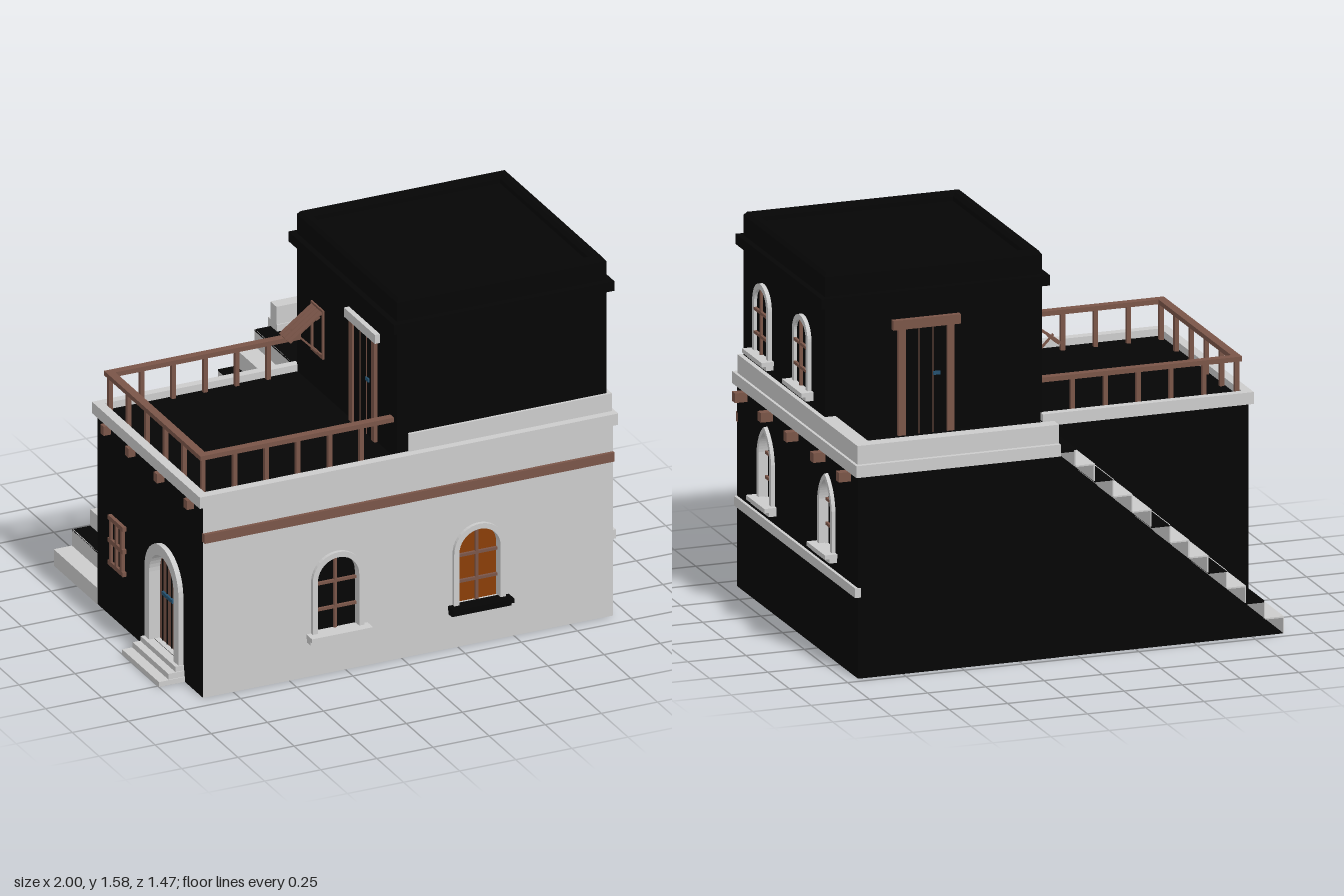
import * as THREE from 'three';

const mat = (color) => new THREE.MeshStandardMaterial({ color, side: THREE.DoubleSide, flatShading: true });
const GREY = mat(0xcccccc), BLACK = mat(0x050505), BROWN = mat(0x7a5548), GLOW = mat(0x8a3e08), BLUE = mat(0x24506e);

function add(parent, name, geo, material) {
  const m = new THREE.Mesh(geo, material);
  m.name = name;
  parent.add(m);
  return m;
}

// Box given by its limits on each axis
function box(parent, name, material, x0, x1, y0, y1, z0, z1) {
  const m = add(parent, name, new THREE.BoxGeometry(x1 - x0, y1 - y0, z1 - z0), material);
  m.position.set((x0 + x1) / 2, (y0 + y1) / 2, (z0 + z1) / 2);
  return m;
}

// Arched outline: half width w, base y0, top y1, round or pointed
function arch(T, u, w, y0, y1, pointed) {
  const s = new T();
  const spring = pointed ? y1 - w * 1.6 : y1 - w;
  s.moveTo(u - w, y0).lineTo(u + w, y0).lineTo(u + w, spring);
  if (pointed) {
    s.quadraticCurveTo(u + w * 0.85, y1 - w * 0.5, u, y1);
    s.quadraticCurveTo(u - w * 0.85, y1 - w * 0.5, u - w, spring);
  } else s.absarc(u, spring, w, 0, Math.PI, false);
  s.closePath();
  return s;
}

const rect = (T, x0, x1, y0, y1) =>
  new T().moveTo(x0, y0).lineTo(x1, y0).lineTo(x1, y1).lineTo(x0, y1).closePath();

// Flat wall at distance d, with openings
function wall(parent, name, material, u0, u1, y1, d, holes = []) {
  const s = rect(THREE.Shape, u0, u1, 0, y1);
  s.holes.push(...holes);
  add(parent, name, new THREE.ShapeGeometry(s, 10), material).position.z = d;
}

// Arched frame and its filling
function archFrame(g, o) {
  const { u, w, y0, y1, d, t = 0.023, back = 0.03, out = 0.016, pointed, pane = BLACK } = o;
  const ring = arch(THREE.Shape, u, w, y0, y1, pointed);
  ring.holes.push(arch(THREE.Path, u, w - t, y0, y1 - t, pointed));
  add(g, 'archFrame', new THREE.ExtrudeGeometry(ring, { depth: back + out, bevelEnabled: false, curveSegments: 10 }), GREY)
    .position.z = d - back;
  add(g, 'pane', new THREE.ShapeGeometry(arch(THREE.Shape, u, w - t, y0, y1 - t, pointed), 10), pane)
    .position.z = d - back + 0.004;
}

function archWindow(side, o) {
  const g = new THREE.Group();
  g.name = 'archedWindow';
  side.add(g);
  archFrame(g, o);
  const { u, w, y0, y1, d, back = 0.03, sill = GREY } = o;
  const z = d - back + 0.006, h = y1 - y0, b = 0.006;
  box(g, 'mullion', BROWN, u - b, u + b, y0, y1 - 0.022, z, z + 0.012);
  for (const k of [0.27, 0.6]) box(g, 'glazingBar', BROWN, u - w + 0.02, u + w - 0.02, y0 + h * k - b, y0 + h * k + b, z, z + 0.012);
  box(g, 'sillTop', sill, u - w - 0.021, u + w + 0.021, y0 - 0.015, y0 + 0.003, d - 0.01, d + 0.053);
  box(g, 'sillBase', sill, u - w - 0.018, u + w + 0.018, y0 - 0.034, y0 - 0.015, d - 0.01, d + 0.033);
}

// Square timber doorway with a lintel
function doorway(side, name, u, d, y0, y1, lintelMat) {
  const g = new THREE.Group();
  g.name = name;
  side.add(g);
  box(g, 'doorLeaf', BLACK, u - 0.09, u + 0.09, y0, y1 - 0.035, d, d + 0.005);
  for (const s of [-1, 1]) box(g, 'doorPost', BROWN, u + s * 0.105 - 0.016, u + s * 0.105 + 0.016, y0, y1 - 0.035, d, d + 0.014);
  for (const s of [-0.03, 0.03]) box(g, 'doorGroove', BROWN, u + s - 0.002, u + s + 0.002, y0, y1 - 0.04, d, d + 0.007);
  box(g, 'lintel', lintelMat, u - 0.145, u + 0.145, y1 - 0.04, y1, d, d + 0.023);
  box(g, 'latch', BLUE, u + 0.03, u + 0.06, y0 + 0.24, y0 + 0.255, d, d + 0.012);
}

export function createModel() {
  const root = new THREE.Group();
  // Each side group uses (along, up, outward) coordinates
  const [front, right, back, left] = ['frontSide', 'rightSide', 'backSide', 'leftSide'].map((name, i) => {
    const g = new THREE.Group();
    g.name = name;
    g.rotation.y = i * Math.PI / 2;
    root.add(g);
    return g;
  });

  // Lower storey windows and door
  const frontWins = [
    { u: -0.288, w: 0.115, y0: 0.187, y1: 0.535, d: 0.68 },
    { u: 0.342, w: 0.115, y0: 0.187, y1: 0.535, d: 0.68, pane: GLOW, sill: BLACK }];
  const rightWins = [-0.33, 0.368].map((u) => ({ u, w: 0.086, y0: 0.453, y1: 0.767, d: 0.942, pointed: true }));
  const door = { u: 0.335, w: 0.16, y0: 0.07, y1: 0.53, d: 0.884, t: 0.045, out: 0.022, pane: BROWN };
  const hole = (o) => arch(THREE.Path, o.u, o.w - 0.01, o.y0 + 0.002, o.y1 - 0.01, o.pointed);

  // Lower storey walls, open underneath
  const H = 0.87;
  wall(front, 'frontWall', GREY, -0.884, 0.942, H, 0.68, frontWins.map(hole));
  wall(right, 'rightWall', BLACK, -0.68, 0.714, H, 0.942, rightWins.map(hole));
  wall(left, 'leftWall', BLACK, -0.31, 0.68, H, 0.884, [hole(door)]);
  wall(back, 'backWall', BLACK, -0.942, -0.085, H, 0.714);
  wall(back, 'stairBackWall', BLACK, -0.085, 0.884, H, 0.31);
  wall(left, 'stairEndWall', BLACK, -0.714, -0.31, H, -0.085);
  box(root, 'terraceFloor', BLACK, -0.88, 0.937, 0.855, 0.87, -0.305, 0.675);
  box(root, 'balconyFloor', BLACK, 0.01, 0.937, 0.855, 0.87, -0.709, -0.305);
  frontWins.forEach((o) => archWindow(front, o));
  rightWins.forEach((o) => archWindow(right, o));

  // Bands
  box(front, 'timberBand', BROWN, -0.884, 0.942, 0.69, 0.73, 0.67, 0.695);
  box(right, 'stoneBand', GREY, -0.68, 0.716, 0.34, 0.38, 0.93, 0.955);

  // Beam ends
  for (const z of [0.58, 0.285, -0.01, -0.32, -0.615]) box(right, 'beamEnd', BROWN, -z - 0.018, -z + 0.018, 0.806, 0.846, 0.92, 0.994);
  for (const z of [0.58, 0.3, 0.03, -0.2]) box(left, 'beamEnd', BROWN, z - 0.016, z + 0.016, 0.805, 0.845, 0.87, 0.916);

  // Cornice and parapet
  const trims = [
    ['cornice', -0.906, 0.958, 0.85, 0.9, 0.655, 0.695], ['cornice', 0.875, 0.958, 0.85, 0.9, -0.738, 0.695],
    ['cornice', 0.08, 0.958, 0.85, 0.9, -0.738, -0.655], ['cornice', -0.906, -0.866, 0.85, 0.9, -0.315, 0.695],
    ['cornice', -0.906, 0, 0.85, 0.9, -0.315, -0.28], ['parapet', 0.042, 0.944, 0.9, 0.978, 0.63, 0.662],
    ['parapet', 0.88, 0.946, 0.9, 0.978, -0.718, 0.662], ['parapet', 0.08, 0.946, 0.9, 0.978, -0.718, -0.66]];
  trims.forEach(([n, ...r]) => box(root, n, GREY, ...r));

  // Left door with steps and boards
  const doorG = new THREE.Group();
  doorG.name = 'archedDoor';
  left.add(doorG);
  archFrame(doorG, door);
  for (let i = -2; i <= 2; i++) box(doorG, 'boardGap', BLACK, 0.333 + i * 0.042, 0.337 + i * 0.042, 0.07, 0.475 - Math.abs(i) * 0.022, 0.855, 0.862);
  box(doorG, 'latch', BLUE, 0.26, 0.36, 0.28, 0.295, 0.86, 0.87);
  [[0, 0.022, 1], [0.022, 0.047, 0.955], [0.047, 0.07, 0.922]].forEach(([a, b, d], i) =>
    box(doorG, 'doorStep', GREY, 0.165 + i * 0.005, 0.51 - i * 0.005, a, b, 0.865, d));

  // Small left window
  box(left, 'smallPane', BLACK, -0.16, -0.06, 0.24, 0.45, 0.875, 0.889);
  for (const u of [-0.16, -0.11, -0.06]) box(left, 'smallUpright', BROWN, u - 0.008, u + 0.008, 0.24, 0.45, 0.875, 0.9);
  for (const y of [0.245, 0.345, 0.445]) box(left, 'smallBar', BROWN, -0.18, -0.04, y - 0.01, y + 0.01, 0.875, 0.9);

  // Outside stair: thin treads and risers over a sloping side wall, open underneath
  const N = 12, run = 0.0812, rise = H / N, x0 = -0.886;
  for (let i = 0; i < N; i++) {
    const x = x0 + i * run, y = (i + 1) * rise, dark = [1, 3, 6, 9, 11].includes(i);
    box(root, 'stairTread', dark ? BLACK : GREY, x, x + run, y - 0.006, y, -0.715, -0.31);
    box(root, 'stairRiser', GREY, x, x + 0.005, y - rise, y, -0.715, -0.31);
  }
  const slope = new THREE.Shape().moveTo(x0, 0).lineTo(0.085, 0).lineTo(0.085, H - 0.03).closePath();
  add(root, 'stairSideWall', new THREE.ShapeGeometry(slope), BLACK).position.z = -0.712;

  // Terrace railing
  const post = (x, z) => box(root, 'railPost', BROWN, x - 0.009, x + 0.009, 0.865, 1.03, z - 0.009, z + 0.009);
  for (let i = 0; i < 6; i++) {
    post(-0.85 + i * 0.141, 0.605);
    post(-0.85 + i * 0.141, -0.265);
    if (i > 0 && i < 5) post(-0.85, -0.265 + i * 0.174);
  }
  for (const z of [0.605, -0.265]) box(root, 'handrail', BROWN, -0.868, -0.005, 1.024, 1.044, z - 0.017, z + 0.017);
  box(root, 'handrail', BROWN, -0.868, -0.833, 1.024, 1.044, -0.28, 0.62);

  // Upper storey: hollow tower with sunken roof and band
  const ringGeo = (x0, x1, z0, z1, t, depth, bevel) => {
    const s = rect(THREE.Shape, x0, x1, -z1, -z0);
    s.holes.push(rect(THREE.Path, x0 + t, x1 - t, -z1 + t, -z0 - t));
    return new THREE.ExtrudeGeometry(s, { depth, bevelEnabled: bevel, bevelThickness: 0.015, bevelSize: 0.012, bevelOffset: -0.012, bevelSegments: 1 })
      .rotateX(-Math.PI / 2);
  };
  add(root, 'towerWalls', ringGeo(-0.006, 0.926, -0.289, 0.65, 0.05, 0.705, true), BLACK).position.y = 0.86;
  add(root, 'towerBand', ringGeo(-0.031, 0.95, -0.314, 0.675, 0.05, 0.043, false), BLACK).position.y = 1.438;
  box(root, 'towerRoof', BLACK, 0.02, 0.9, 1.53, 1.545, -0.26, 0.622);
  for (const u of [-0.41, 0.047]) archWindow(right, { u, w: 0.091, y0: 1.043, y1: 1.342, d: 0.926, back: -0.001, out: 0.018 });
  doorway(back, 'balconyDoor', -0.495, 0.289, 0.87, 1.357, BROWN);
  doorway(left, 'terraceDoor', 0.345, 0.006, 0.87, 1.36, GREY);

  // Propped shutter over a small opening
  const sh = new THREE.Group();
  sh.name = 'proppedShutter';
  sh.position.set(-0.01, 1.232, -0.088);
  sh.rotation.z = 0.63;
  root.add(sh);
  for (let i = 0; i < 4; i++) box(sh, 'shutterSlat', BROWN, -0.18, 0, -0.004, 0.004, -0.05 + i * 0.026, -0.028 + i * 0.026);
  for (const x of [-0.15, -0.03]) box(sh, 'shutterBatten', BROWN, x - 0.01, x + 0.01, -0.01, -0.004, -0.05, 0.05);
  const prop = box(root, 'shutterProp', BROWN, -0.085, 0.085, -0.004, 0.004, -0.004, 0.004);
  prop.position.set(-0.07, 1.1, -0.088);
  prop.rotation.z = -0.8;
  for (const y of [1.035, 1.235]) box(left, 'shutterFrame', BROWN, -0.145, -0.03, y - 0.008, y + 0.008, 0.001, 0.014);
  for (const u of [-0.14, -0.035]) box(left, 'shutterFrame', BROWN, u - 0.006, u + 0.006, 1.03, 1.24, 0.001, 0.014);

  return root;
}
